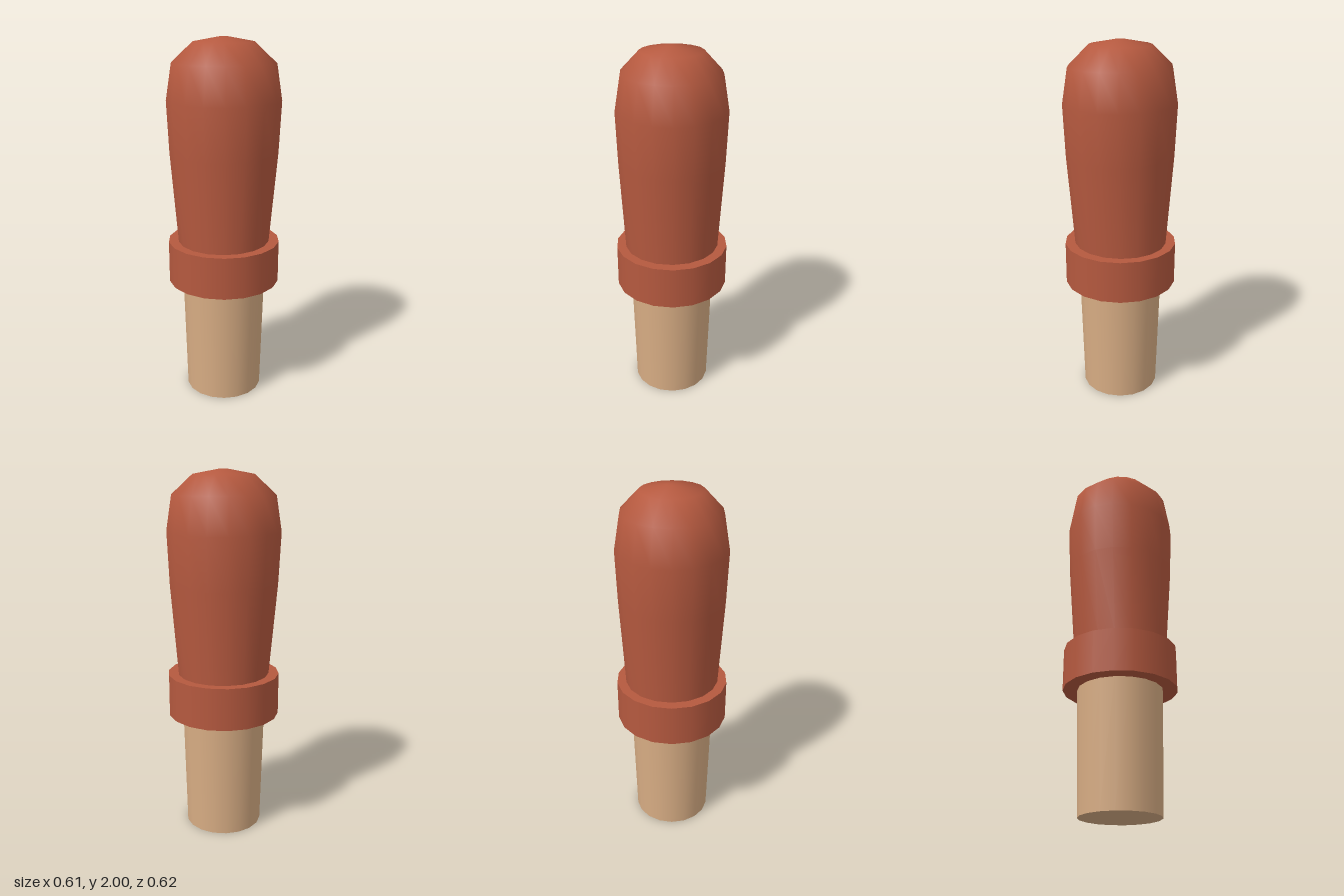
import * as THREE from 'three';
import { mergeVertices } from 'three/addons/utils/BufferGeometryUtils.js';

const SIDES = 18;

// Smooth solid with slightly oval cross-sections; rows are [y, half width, half depth]
function ovalLoft(rows) {
  const geo = new THREE.LatheGeometry(rows.map(([y, , rz]) => new THREE.Vector2(rz, y)), SIDES);
  const pos = geo.attributes.position;
  for (let i = 0; i < pos.count; i++) {
    const [, rx, rz] = rows[i % rows.length];
    if (rz > 0) pos.setX(i, pos.getX(i) * rx / rz);
  }
  geo.deleteAttribute('uv');
  geo.deleteAttribute('normal');
  const merged = mergeVertices(geo, 1e-4);
  merged.computeVertexNormals();
  return merged;
}

export function createModel() {
  const group = new THREE.Group();
  const redWood = new THREE.MeshStandardMaterial({ color: 0xb5593f });
  redWood.name = 'redWood';
  const paleWood = new THREE.MeshStandardMaterial({ color: 0xd8ad84 });
  paleWood.name = 'paleWood';

  const add = (name, geometry, material, y = 0) => {
    const mesh = new THREE.Mesh(geometry, material);
    mesh.name = name;
    mesh.position.y = y;
    group.add(mesh);
  };

  // Tapered peg, widening upward into the collar
  add('peg', new THREE.CylinderGeometry(0.232, 0.215, 0.67, SIDES), paleWood, 0.335);

  // Collar with flat top and bottom ledges
  add('collar', new THREE.CylinderGeometry(0.31, 0.31, 0.234, SIDES), redWood, 0.783);

  // Swelling grip with a rounded top
  add('grip', ovalLoft([
    [0.9, 0.253, 0.259],
    [1.4, 0.296, 0.286],
    [1.68, 0.309, 0.295],
    [1.87, 0.279, 0.262],
    [1.975, 0.163, 0.164],
    [2, 0.028, 0.028],
    [2, 0, 0],
  ]), redWood);

  return group;
}
